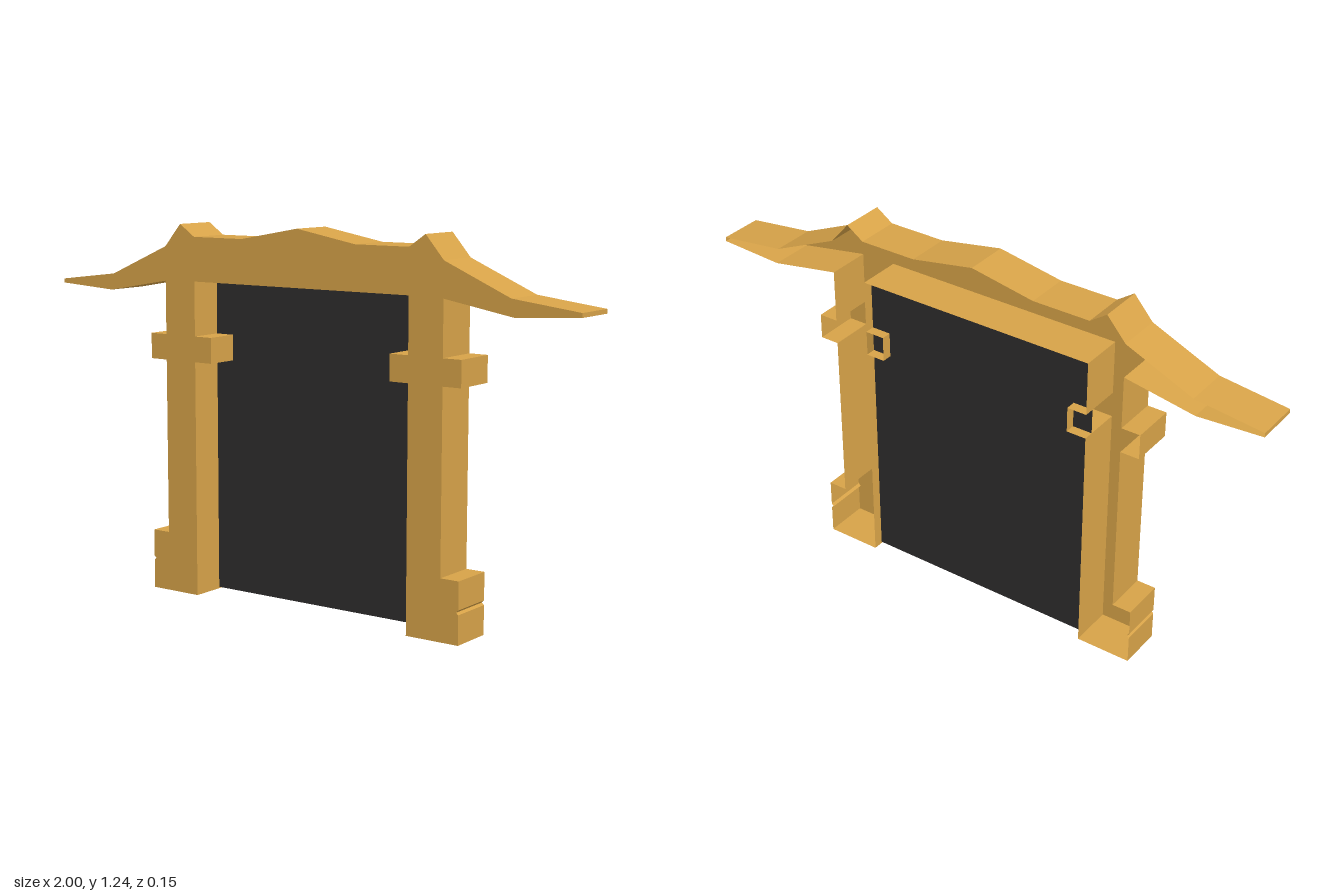
import * as THREE from 'three';

const DEPTH = 0.15;

// Half outline of the gate (+x side), counter-clockwise from the inner lintel corner to the ridge
const HALF = [
  [0.417, 1.05], [0.417, 0.87], [0.35, 0.87], [0.35, 0.785], [0.417, 0.785], // inner bracket
  [0.417, 0], [0.605, 0],                                                    // foot
  [0.605, 0.095], [0.597, 0.102], [0.605, 0.11],                             // groove in the base
  [0.605, 0.2], [0.54, 0.2],
  [0.54, 0.785], [0.605, 0.785], [0.605, 0.87], [0.54, 0.87],                // outer bracket
  [0.54, 1.047], [0.78, 1.005], [1, 1.018], [1, 1.032],                      // eave
  [0.77, 1.06], [0.54, 1.16], [0.475, 1.235], [0.417, 1.195],
  [0.22, 1.195], [0, 1.235],                                                 // ridge
];

// Side walls: one flat quad per outline edge, running from front to back
function wallGeometry(points) {
  const positions = [];
  const f = DEPTH / 2;
  points.forEach(([ax, ay], i) => {
    const [bx, by] = points[(i + 1) % points.length];
    positions.push(
      ax, ay, f, ax, ay, -f, bx, by, -f,
      ax, ay, f, bx, by, -f, bx, by, f,
    );
  });
  const geometry = new THREE.BufferGeometry();
  geometry.setAttribute('position', new THREE.Float32BufferAttribute(positions, 3));
  geometry.computeVertexNormals();
  return geometry;
}

export function createModel() {
  const model = new THREE.Group();
  model.name = 'gate';

  const wood = new THREE.MeshStandardMaterial({ color: 0xd6a248, side: THREE.DoubleSide });
  const dark = new THREE.MeshStandardMaterial({ color: 0x2e2c2c, side: THREE.DoubleSide });

  const mirrored = HALF.slice(0, -1).reverse().map(([x, y]) => [-x, y]);
  const outline = [...HALF, ...mirrored];

  // Hollow frame, open at the back
  const frame = new THREE.Group();
  frame.name = 'frame';
  const shape = new THREE.Shape(outline.map(([x, y]) => new THREE.Vector2(x, y)));
  const face = new THREE.Mesh(new THREE.ShapeGeometry(shape), wood);
  face.name = 'frameFront';
  face.position.z = DEPTH / 2;
  const walls = new THREE.Mesh(wallGeometry(outline), wood);
  walls.name = 'frameWalls';
  frame.add(face, walls);

  // Dark panel filling the opening, set towards the back
  const panel = new THREE.Mesh(new THREE.PlaneGeometry(0.834, 1.045), dark);
  panel.name = 'doorPanel';
  panel.position.set(0, 0.5275, -0.04);

  model.add(frame, panel);
  return model;
}
